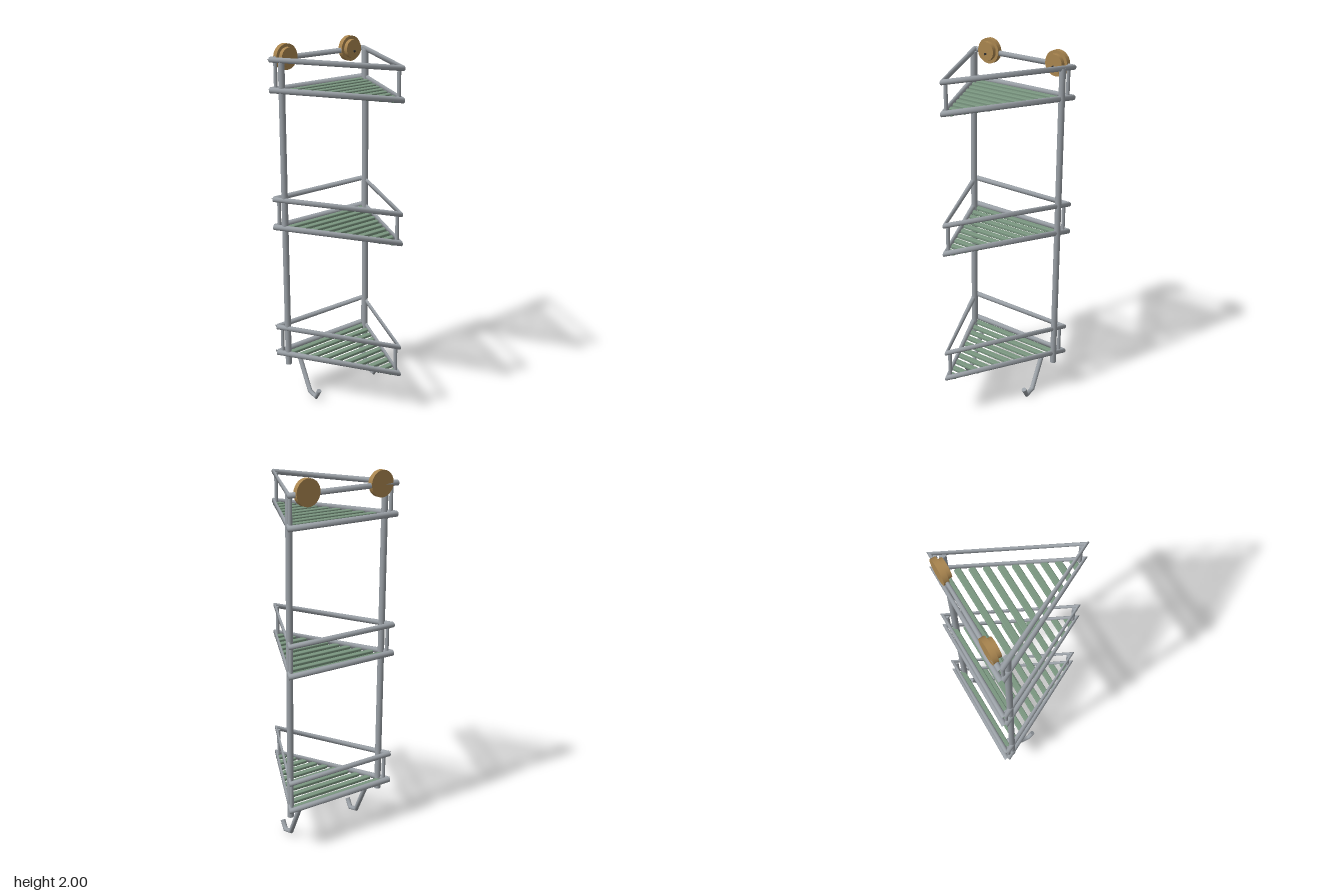
import * as THREE from 'three';
import { RoundedBoxGeometry } from 'three/addons/geometries/RoundedBoxGeometry.js';

const steel = new THREE.MeshStandardMaterial({ color: 0x9aa0a6 });
const green = new THREE.MeshStandardMaterial({ color: 0x7a9680 });
const wood = new THREE.MeshStandardMaterial({ color: 0xa9854f });
const dark = new THREE.MeshStandardMaterial({ color: 0x333333 });

// Polyline sampled only at its corners, so tubes bend sharply there
class BentPath extends THREE.Curve {
  constructor(points) {
    super();
    this.points = points;
  }
  getPointAt(u, target = new THREE.Vector3()) {
    return target.copy(this.points[Math.round(u * (this.points.length - 1))]);
  }
  getTangentAt(u, target = new THREE.Vector3()) {
    const p = this.points, i = Math.round(u * (p.length - 1));
    target.set(0, 0, 0);
    if (i > 0) target.add(p[i].clone().sub(p[i - 1]).normalize());
    if (i < p.length - 1) target.add(p[i + 1].clone().sub(p[i]).normalize());
    return target.normalize();
  }
}

function add(parent, name, geometry, material, x = 0, y = 0, z = 0) {
  const mesh = new THREE.Mesh(geometry, material);
  mesh.name = name;
  mesh.position.set(x, y, z);
  parent.add(mesh);
  return mesh;
}

// Bent rod with closed ends
function rod(parent, name, coords, radius) {
  const pts = coords.map((c) => new THREE.Vector3(...c));
  const n = pts.length - 1;
  const group = new THREE.Group();
  group.name = name;
  parent.add(group);
  add(group, name + 'Tube', new THREE.TubeGeometry(new BentPath(pts), n, radius, 16), steel);
  for (const [end, inner] of [[pts[0], pts[1]], [pts[n], pts[n - 1]]]) {
    const cap = add(group, name + 'Cap', new THREE.CircleGeometry(radius, 16), steel, end.x, end.y, end.z);
    cap.lookAt(end.clone().multiplyScalar(2).sub(inner));
  }
}

function post(parent, name, x, z, y0, y1, radius) {
  add(parent, name, new THREE.CylinderGeometry(radius, radius, y1 - y0, 16), steel, x, (y0 + y1) / 2, z);
}

function disc(parent, name, radius, z0, z1, material, x, y) {
  const geometry = new THREE.CylinderGeometry(radius, radius, z1 - z0, 40).rotateX(Math.PI / 2);
  add(parent, name, geometry, material, x, y, (z0 + z1) / 2);
}

function makeShelf(y) {
  const shelf = new THREE.Group();
  shelf.name = 'shelf';
  shelf.position.y = y;
  // Triangular rails
  for (const [name, h, r] of [['lowerRail', 0, 0.016], ['upperRail', 0.159, 0.0145]]) {
    rod(shelf, name, [[-0.33, h, -0.328], [0, h, 0.325], [0.327, h, -0.326], [-0.33, h, -0.33]], r);
  }
  // Short posts at the corners
  post(shelf, 'frontPost', 0, 0.296, 0, 0.159, 0.01);
  for (const s of [-1, 1]) post(shelf, 'backPost', s * 0.309, -0.308, 0, 0.159, 0.01);
  // Slats narrowing to the front
  for (let i = 0; i < 10; i++) {
    const width = 2 * (0.3 - 0.0302 * i);
    add(shelf, 'slat', new RoundedBoxGeometry(width, 0.018, 0.033, 2, 0.005), green, 0, -0.009, -0.289 + 0.0622 * i);
  }
  return shelf;
}

export function createModel() {
  const model = new THREE.Group();
  model.name = 'cornerShelfRack';

  for (const y of [0.254, 1.011, 1.767]) model.add(makeShelf(y));

  for (const s of [-1, 1]) {
    post(model, 'upright', s * 0.295, -0.275, 0.19, 1.925, 0.0175);

    // Wall mounting pad with a stepped front
    const pad = new THREE.Group();
    pad.name = 'wallPad';
    model.add(pad);
    const x = s * 0.225, y = 1.932;
    disc(pad, 'padBase', 0.069, -0.343, -0.315, wood, x, y);
    disc(pad, 'padFront', 0.052, -0.316, -0.291, wood, x, y);
    disc(pad, 'padPin', 0.006, -0.292, -0.284, dark, x, y - 0.013);

    // Hanging hook
    rod(model, 'hook', [[x, 0.225, -0.265], [x, 0.029, -0.172], [x, 0.014, -0.118], [x, 0.062, -0.09]], 0.0135);
  }
  return model;
}
